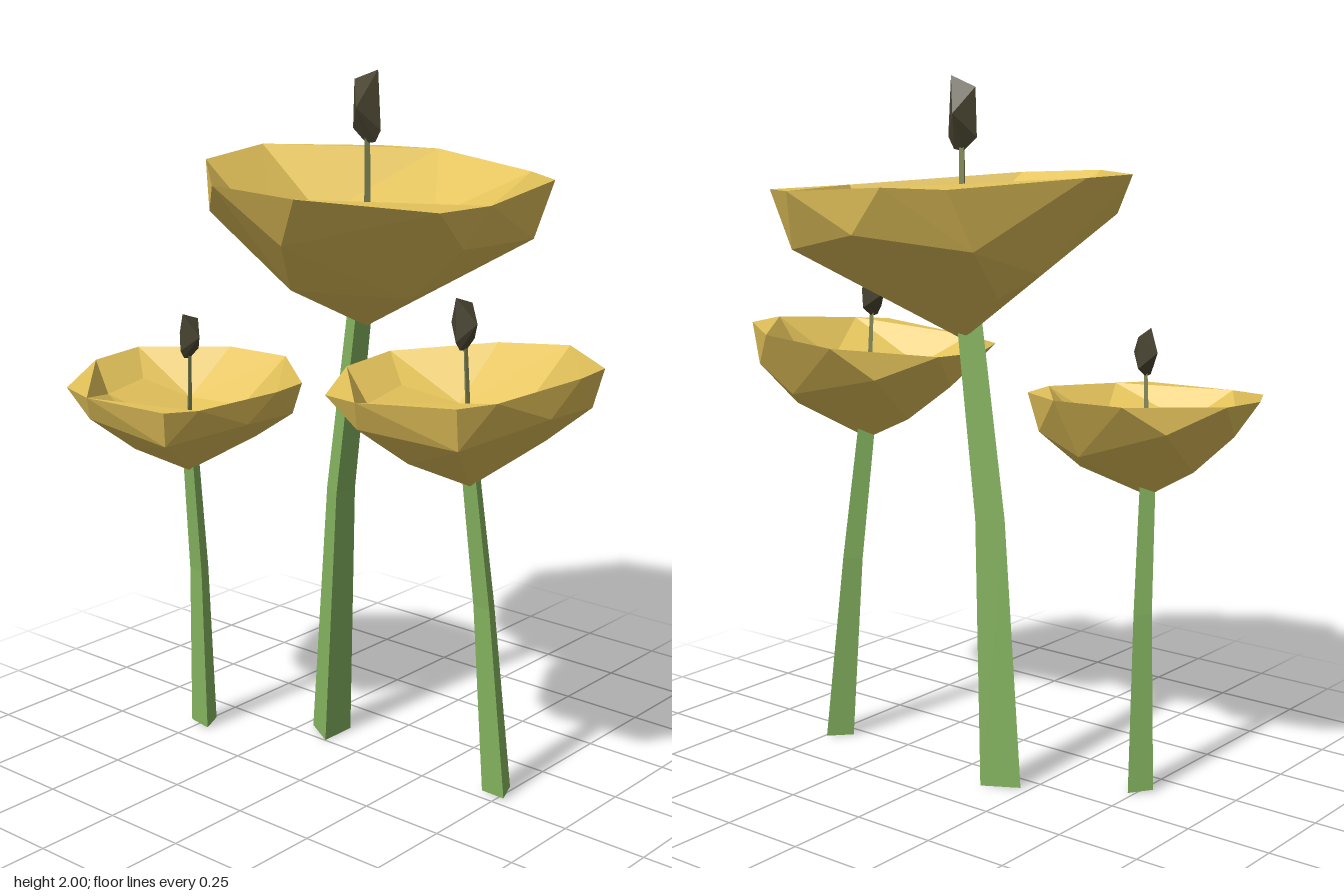
import * as THREE from 'three';
import { ConvexGeometry } from 'three/addons/geometries/ConvexGeometry.js';

const mat = (color, side = THREE.FrontSide) =>
  new THREE.MeshStandardMaterial({ color, flatShading: true, side });
const petalYellow = mat(0xe3c25a, THREE.DoubleSide);
const stemGreen = mat(0x86b560);
const stalkOlive = mat(0x858a58);
const budDark = mat(0x4b4632);

// Bowl corners, measured from the bottom tip of the bowl
const rim = [
  [-0.48, 0.47, -0.09], [-0.29, 0.45, -0.42], [-0.11, 0.45, -0.465], [0.27, 0.42, -0.41],
  [0.4, 0.415, -0.34], [0.49, 0.4, 0.08], [0.465, 0.4, 0.265], [0.16, 0.43, 0.48],
  [-0.1, 0.445, 0.51], [-0.41, 0.46, 0.22],
];
const earTips = [1, 4, 6]; // rim corners that carry a flat lip
const mouth = rim.filter((_, i) => !earTips.includes(i));
const belly = [
  [0.02, 0.32, -0.43], [0.36, 0.25, -0.3], [0.44, 0.285, 0.13], [0.06, 0.29, 0.42],
  [-0.28, 0.34, 0.34], [-0.335, 0.21, -0.09], [-0.31, 0.29, -0.34], [-0.25, 0.15, -0.16],
  [0.23, 0.12, 0.09], [-0.035, 0.14, 0.28], [0.03, 0.155, -0.2], [0, 0, 0],
];
const hollow = [
  [0.03, 0.285, -0.27], [-0.24, 0.28, -0.08], [-0.17, 0.26, 0.21], [-0.03, 0.335, 0.38],
  [0.2, 0.31, 0.33], [0.31, 0.27, -0.04], [0.03, 0.19, -0.02],
];
// Bud outline plus its back and front points
const budCorners = [
  [-0.045, 0.07, 0], [0.04, 0.1, 0], [0.05, -0.065, 0], [0.03, -0.098, 0],
  [-0.002, -0.103, 0], [-0.05, -0.065, 0], [-0.01, 0, -0.056], [0.01, 0, 0.058],
];

const vectors = (corners) => corners.map((c) => new THREE.Vector3(...c));

function add(group, name, geometry, material) {
  const mesh = new THREE.Mesh(geometry, material);
  mesh.name = name;
  group.add(mesh);
  return mesh;
}

function facets(points) {
  const g = new THREE.BufferGeometry().setFromPoints(points);
  g.computeVertexNormals();
  return g;
}

// Faceted hull with its lid removed, facing outward or, for a hollow, inward
function openHull(corners, inward) {
  const p = new ConvexGeometry(vectors(corners)).attributes.position;
  const kept = [];
  const tri = new THREE.Triangle();
  const n = new THREE.Vector3();
  for (let i = 0; i < p.count; i += 3) {
    tri.setFromAttributeAndIndices(p, i, i + 1, i + 2);
    if (tri.getNormal(n).y > 0.85) continue;
    const face = [tri.a.clone(), tri.b.clone(), tri.c.clone()];
    kept.push(...(inward ? face.reverse() : face));
  }
  return facets(kept);
}

// Flat triangular lips that join the hollow to the outer rim
function lipGeometry() {
  return facets(vectors(earTips.flatMap((i) => [rim[i + 1], rim[i], rim[i - 1]])));
}

// Three-sided stem that bends once on its way down from the bowl
function stemGeometry() {
  const g = new THREE.CylinderGeometry(1, 1, 1, 3, 2, false, -Math.PI / 2);
  const p = g.attributes.position;
  const rings = [ // x, y, z, radius
    [-0.126, -1.28, 0.022, 0.067], [-0.085, -0.5, 0.021, 0.048], [-0.022, 0.05, 0.008, 0.041],
  ];
  for (let i = 0; i < p.count; i++) {
    const [x, y, z, r] = rings[Math.round((p.getY(i) + 0.5) * 2)];
    p.setXYZ(i, p.getX(i) * r + x, y, p.getZ(i) * r + z);
  }
  g.computeVertexNormals();
  return g;
}

function makeFlower(name, tip, scale, turn, tilt) {
  const flower = new THREE.Group();
  flower.name = name;
  add(flower, 'bowlOutside', openHull([...rim, ...belly], false), petalYellow);
  add(flower, 'bowlInside', openHull([...mouth, ...hollow], true), petalYellow);
  add(flower, 'bowlLip', lipGeometry(), petalYellow);
  add(flower, 'stem', stemGeometry(), stemGreen);
  add(flower, 'stalk', new THREE.CylinderGeometry(0.009, 0.013, 0.42, 3), stalkOlive)
    .position.set(0, 0.35, 0);
  add(flower, 'bud', new ConvexGeometry(vectors(budCorners)), budDark).position.set(0, 0.62, 0);

  flower.position.set(...tip);
  flower.scale.setScalar(scale);
  flower.rotation.set(0, turn, tilt, 'ZYX');
  return flower;
}

export function createModel() {
  const model = new THREE.Group();
  model.name = 'flowers';
  model.add(
    makeFlower('tallFlower', [-0.03, 1.28, -0.08], 1, 0, 0),
    makeFlower('rightFlower', [-0.452, 0.84, 0.225], 0.655, -1.69, -0.042),
    makeFlower('leftFlower', [0.432, 0.922, 0.035], 0.72, -1.69, 0.06),
  );
  return model;
}
